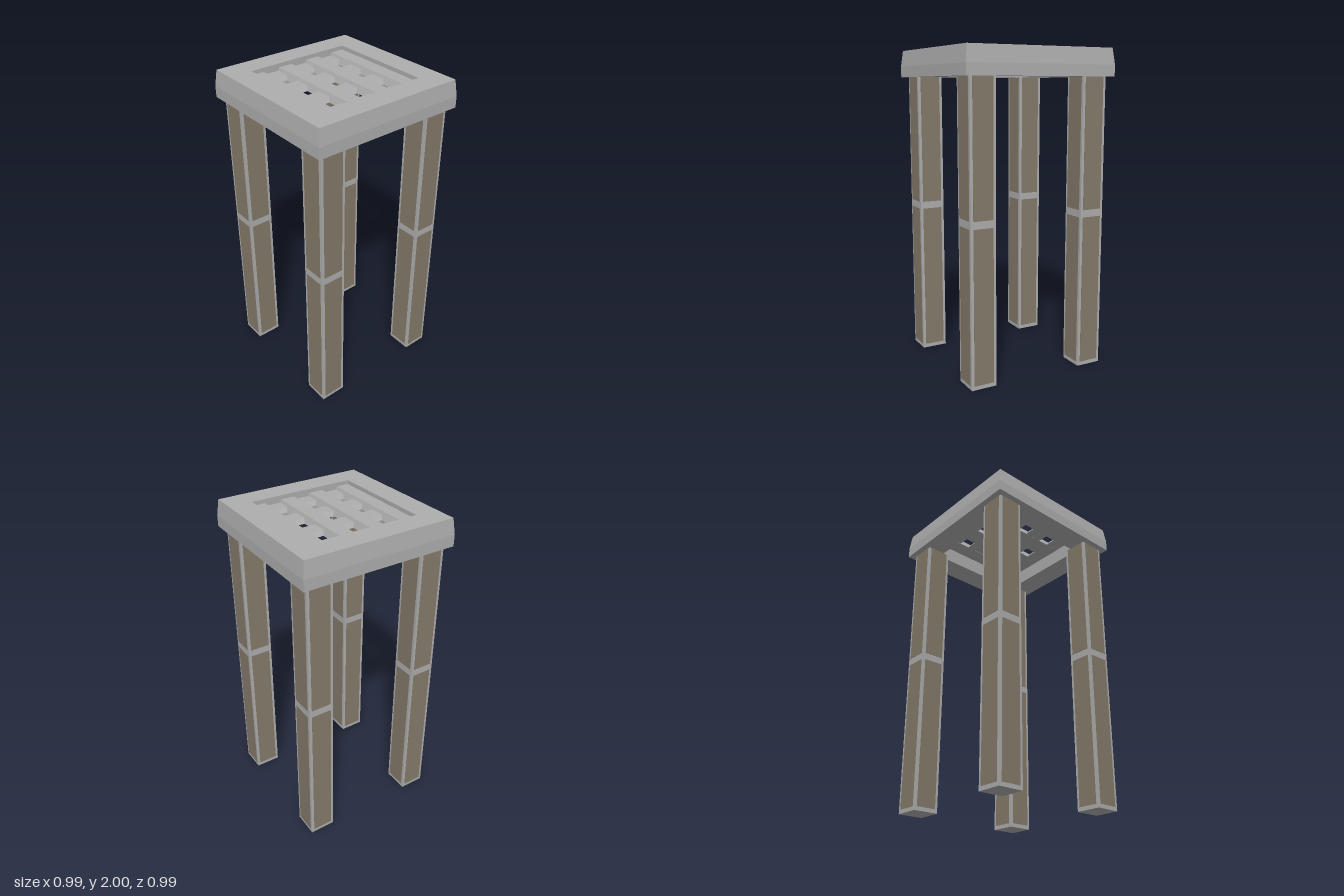
import * as THREE from 'three';

const grey = new THREE.MeshStandardMaterial({ color: 0xaeaeae });
grey.name = 'stone grey';
const brown = new THREE.MeshStandardMaterial({ color: 0x857b6a });
brown.name = 'panel brown';

const INNER = 0.339; // half width of the square opening

function add(parent, name, geometry, material, x = 0, y = 0, z = 0) {
  const mesh = new THREE.Mesh(geometry, material);
  mesh.name = name;
  mesh.position.set(x, y, z);
  parent.add(mesh);
  return mesh;
}

// square ring with a sloped upper rim
function slabGeometry() {
  const profile = [
    [INNER, 1.83], [0.497, 1.83], [0.497, 1.9], [0.485, 2], [INNER, 2], [INNER, 1.83],
  ].map(([r, y]) => new THREE.Vector2(r * Math.SQRT2, y));
  const g = new THREE.LatheGeometry(profile, 4, Math.PI / 4).toNonIndexed();
  g.computeVertexNormals();
  return g;
}

// bar from a to b across, widening towards the bottom beside the holes
function barGeometry(a, b, bottom, top) {
  const flareA = a > -INNER ? 0.019 : 0;
  const flareB = b < INNER ? 0.019 : 0;
  const shape = new THREE.Shape([
    new THREE.Vector2(a - flareA, bottom), new THREE.Vector2(b + flareB, bottom),
    new THREE.Vector2(b, top), new THREE.Vector2(a, top),
  ]);
  const g = new THREE.ExtrudeGeometry(shape, { depth: 2 * INNER, bevelEnabled: false });
  return g.translate(0, 0, -INNER);
}

function createLattice() {
  const lattice = new THREE.Group();
  lattice.name = 'lattice';
  const half = 0.055;
  const edges = [-INNER];
  for (const c of [-0.2, 0, 0.2]) edges.push(c - half, c + half);
  edges.push(INNER);
  for (let i = 0; i < edges.length; i += 2) {
    add(lattice, 'crossBar', barGeometry(edges[i], edges[i + 1], 1.931, 1.957), grey);
    const long = add(lattice, 'longBar', barGeometry(edges[i], edges[i + 1], 1.93, 1.975), grey);
    long.rotation.y = Math.PI / 2;
  }
  return lattice;
}

// square post with two inset-looking panels on each side
function createLeg(x, z) {
  const leg = new THREE.Group();
  leg.name = 'leg';
  leg.position.set(x, 0, z);
  const w = 0.163;
  add(leg, 'post', new THREE.BoxGeometry(w, 1.83, w), grey, 0, 0.915, 0);
  for (let side = 0; side < 4; side++) {
    const face = new THREE.Group();
    face.name = 'legSide';
    face.rotation.y = side * Math.PI / 2;
    leg.add(face);
    for (const [y0, y1] of [[0.025, 0.972], [1.018, 1.83]]) {
      add(face, 'panel', new THREE.BoxGeometry(0.129, y1 - y0, 0.004), brown, 0, (y0 + y1) / 2, w / 2);
    }
  }
  return leg;
}

export function createModel() {
  const model = new THREE.Group();
  model.name = 'grateTopStand';
  add(model, 'topFrame', slabGeometry(), grey);
  model.add(createLattice());
  for (const x of [-0.377, 0.377]) {
    for (const z of [-0.377, 0.377]) model.add(createLeg(x, z));
  }
  return model;
}
